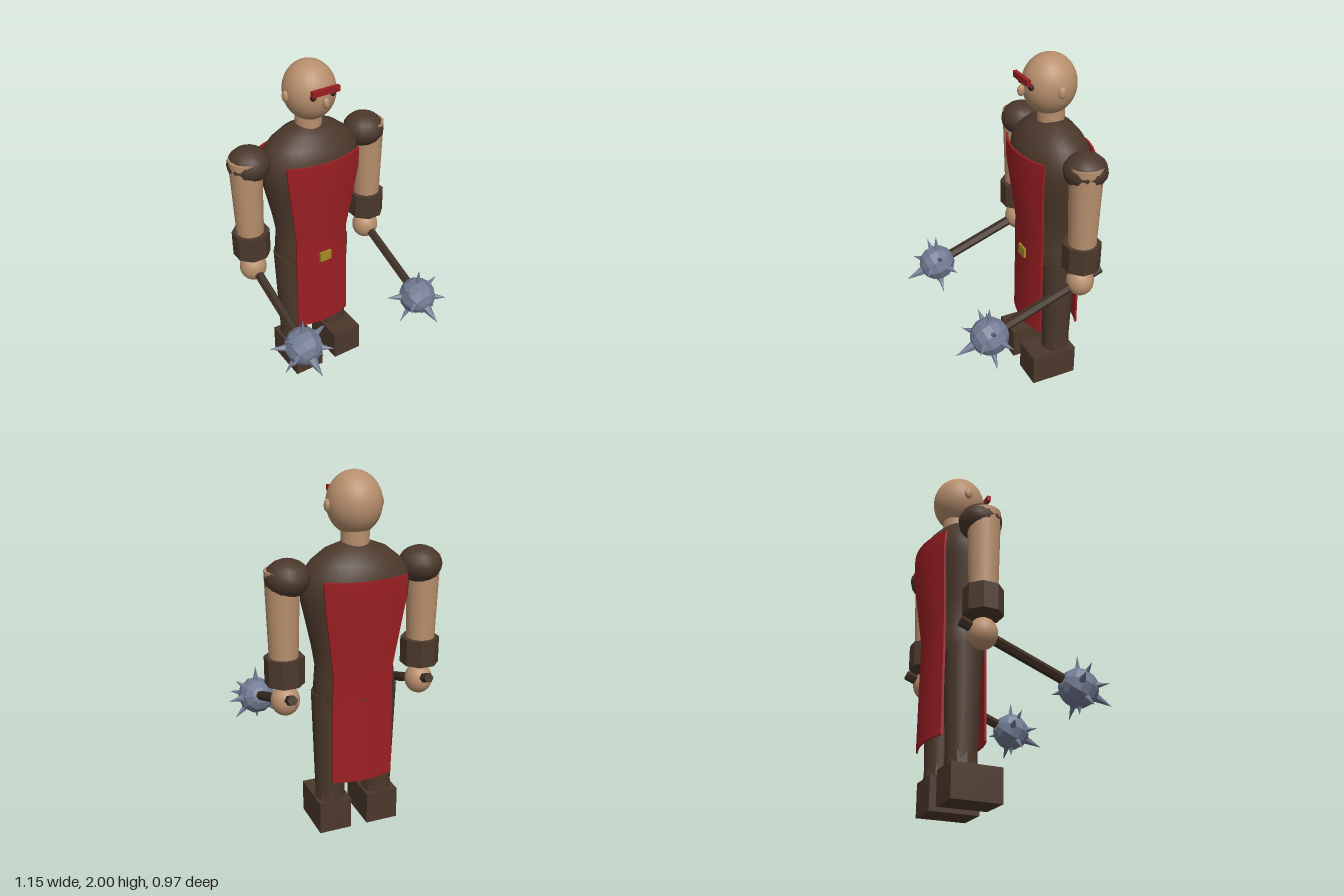
import * as THREE from 'three';
import { toCreasedNormals } from 'three/addons/utils/BufferGeometryUtils.js';

const material = (name, color, flatShading = false) => {
  const m = new THREE.MeshStandardMaterial({ color, flatShading });
  m.name = name;
  return m;
};

export function createModel() {
  const skin = material('skin', 0xb88f6d);
  const leather = material('leather', 0x4b382b);
  const cloth = material('red cloth', 0x9c1f23);
  const wood = material('dark wood', 0x3e2e23);
  const steel = material('steel', 0x717b92, true);
  const gold = material('gold', 0xa08a24);
  const eyeDark = material('eye', 0x30231e);

  const model = new THREE.Group();
  model.name = 'warrior';
  const Z = -0.27; // body axis

  const add = (parent, name, geometry, mat, x = 0, y = 0, z = 0) => {
    const mesh = new THREE.Mesh(geometry, mat);
    mesh.name = name;
    mesh.position.set(x, y, z);
    parent.add(mesh);
    return mesh;
  };
  const ball = (rx, ry, rz, w = 32, h = 20) => new THREE.SphereGeometry(1, w, h).scale(rx, ry, rz);
  // Faceted prism with a flat side to the front
  const prism = (top, bottom, height, sides) => toCreasedNormals(
    new THREE.CylinderGeometry(top, bottom, height, sides).rotateY(Math.PI / sides), 0.5);

  // Torso: an oval lathe with a rounded shoulder line
  const profile = [[0, 0.76], [0.21, 0.76], [0.235, 0.81], [0.228, 0.9], [0.222, 0.98], [0.24, 1.09],
    [0.268, 1.22], [0.295, 1.34], [0.3, 1.42], [0.285, 1.49], [0.24, 1.55], [0.17, 1.605], [0.08, 1.64], [0, 1.645]];
  add(model, 'torso', new THREE.LatheGeometry(profile.map(p => new THREE.Vector2(...p)), 32).scale(1, 1, 0.67),
    leather, 0, 0, Z);

  // Head
  add(model, 'neck', new THREE.CylinderGeometry(0.075, 0.075, 0.1, 24), skin, 0, 1.655, Z);
  add(model, 'head', ball(0.145, 0.165, 0.15), skin, 0, 1.835, -0.255);
  add(model, 'nose', ball(0.018, 0.031, 0.021, 16, 12), skin, 0, 1.82, -0.09);
  add(model, 'brow', new THREE.BoxGeometry(0.166, 0.033, 0.022), cloth, 0, 1.886, -0.093);
  for (const s of [1, -1]) {
    add(model, 'ear', ball(0.016, 0.033, 0.024, 16, 12), skin, s * 0.147, 1.83, -0.255);
    add(model, 'eye', ball(0.018, 0.018, 0.016, 12, 8), eyeDark, s * 0.06, 1.852, -0.118);
  }

  // Tabard panel: rows of [height, half width, distance from body axis], bowed across
  const rows = [[0.33, 0.175, 0.16], [0.8, 0.172, 0.157], [0.97, 0.17, 0.157], [1.36, 0.225, 0.215], [1.48, 0.232, 0.215]];
  const panel = () => {
    const g = new THREE.BoxGeometry(2, 4, 1, 10, 4, 1);
    const p = g.attributes.position;
    for (let i = 0; i < p.count; i++) {
      const [y, w, d] = rows[Math.round(p.getY(i) + 2)];
      const x = p.getX(i) * w;
      p.setXYZ(i, x, y, d - 1.1 * x * x - (p.getZ(i) > 0 ? 0 : 0.012));
    }
    return toCreasedNormals(g, 0.35);
  };
  add(model, 'frontTabard', panel(), cloth, 0, 0, Z);
  add(model, 'backTabard', panel(), cloth, 0, 0, Z).rotation.y = Math.PI;
  add(model, 'buckle', new THREE.BoxGeometry(0.074, 0.062, 0.02), gold, 0, 0.826, -0.111);

  // Spike tips relative to the mace head: [x, y, z, base radius]
  const spikes = [[0, -0.07, 0.2, 0.034], [0, 0.185, 0, 0.022], [0, -0.145, 0, 0.022]];
  for (const s of [1, -1]) spikes.push(
    [s * 0.18, 0.015, -0.062, 0.026], [s * 0.13, 0, 0.11, 0.024],
    [s * 0.13, -0.135, 0.012, 0.022], [s * 0.12, 0.105, 0.015, 0.022]);

  const up = new THREE.Vector3(0, 1, 0);
  const makeMace = () => {
    const mace = new THREE.Group();
    mace.name = 'mace';
    const start = new THREE.Vector3(0, 0.862, -0.395), end = new THREE.Vector3(0, 0.62, 0.26);
    const dir = end.clone().sub(start);
    const shaft = add(mace, 'maceHandle', prism(0.028, 0.028, dir.length(), 6), wood,
      ...start.clone().add(end).multiplyScalar(0.5).toArray());
    shaft.quaternion.setFromUnitVectors(up, dir.normalize());
    const head = new THREE.Group();
    head.name = 'maceHead';
    head.position.set(0, 0.612, 0.28);
    mace.add(head);
    add(head, 'maceBall', new THREE.SphereGeometry(0.108, 10, 7), steel)
      .quaternion.setFromUnitVectors(up, dir);
    for (const [x, y, z, r] of spikes) {
      const tip = new THREE.Vector3(x, y, z);
      const length = tip.length() - 0.075;
      const d = tip.clone().normalize();
      const spike = add(head, 'spike', new THREE.ConeGeometry(r, length, 6), steel,
        ...d.clone().multiplyScalar(0.075 + length / 2).toArray());
      spike.quaternion.setFromUnitVectors(up, d);
    }
    return mace;
  };

  // Arms and legs, mirrored left and right
  for (const s of [1, -1]) {
    const arm = new THREE.Group();
    arm.name = s > 0 ? 'leftArm' : 'rightArm';
    arm.position.x = s * 0.395;
    model.add(arm);
    add(arm, 'shoulderPad', ball(0.12, 0.1, 0.12, 14, 10), leather, -s * 0.022, 1.485, -0.28);
    add(arm, 'upperArm', new THREE.CylinderGeometry(0.092, 0.074, 0.59, 24), skin, s * 0.003, 1.235, Z);
    add(arm, 'cuff', prism(0.107, 0.107, 0.15, 8), leather, 0, 0.99, Z);
    add(arm, 'hand', ball(0.078, 0.085, 0.078, 24, 16), skin, 0, 0.815, Z);
    arm.add(makeMace());

    const leg = new THREE.Group();
    leg.name = s > 0 ? 'leftLeg' : 'rightLeg';
    leg.position.x = s * 0.142;
    model.add(leg);
    add(leg, 'trouserLeg', new THREE.CylinderGeometry(0.102, 0.08, 0.66, 16), leather, 0, 0.5, Z);
    add(leg, 'bootShaft', prism(0.08, 0.087, 0.13, 10), leather, 0, 0.235, Z);
    add(leg, 'boot', new THREE.BoxGeometry(0.187, 0.185, 0.28), leather, 0, 0.0925, -0.22);
  }
  return model;
}
